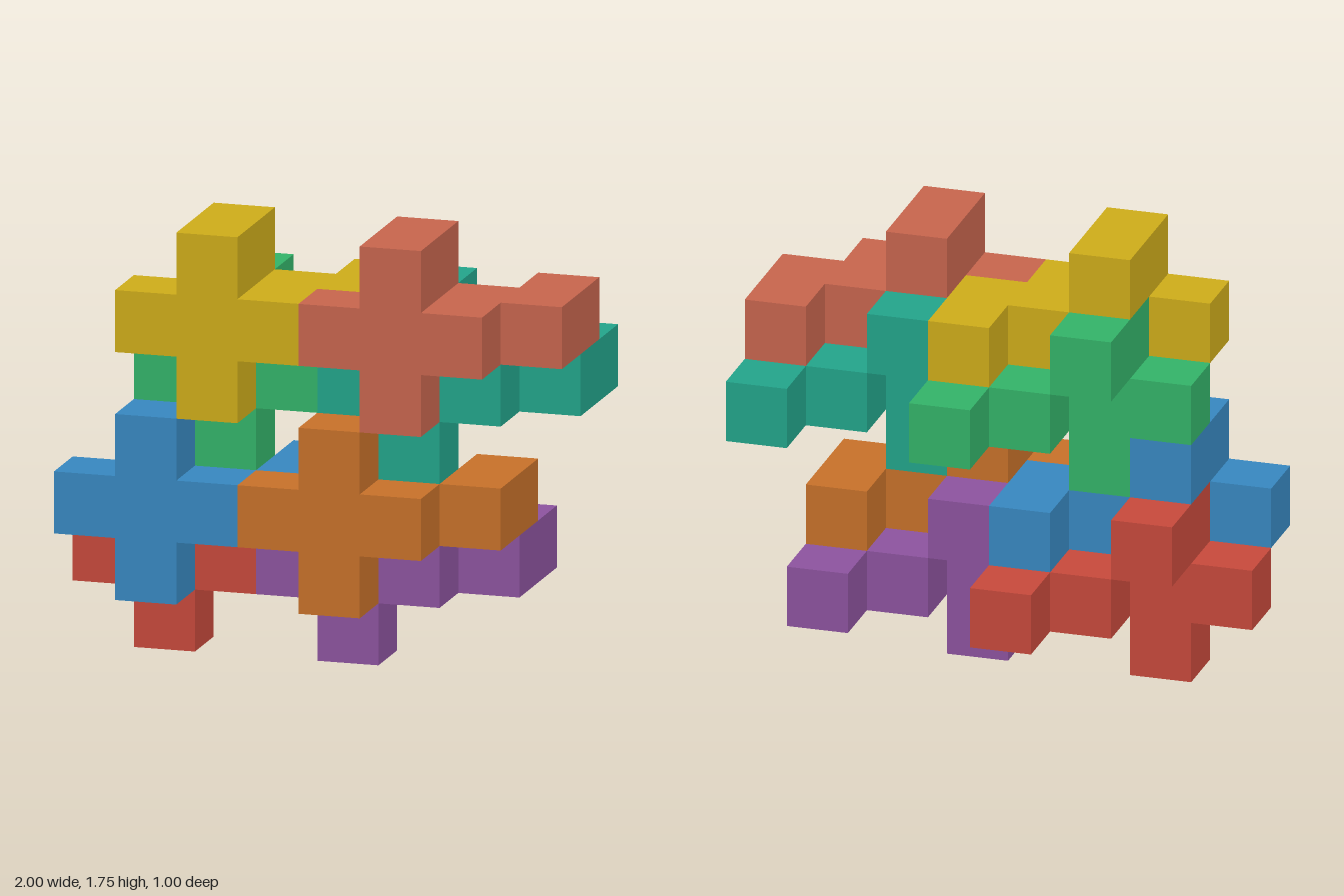
import * as THREE from 'three';
import { mergeGeometries } from 'three/addons/utils/BufferGeometryUtils.js';

const U = 0.25; // edge of one cube

// Cubes of one interlocking piece, relative to the middle of its cross
const CELLS = [
  [0, 0, 0], [-1, 0, 0], [1, 0, 0], [0, -1, 0], [0, 1, 0], // upright cross
  [0, 1, -1],                                              // stub behind the top arm
  [1, 0, -1], [2, 0, -1], [2, 0, -2],                      // stepped tail to the back
];

// Cross middle of each piece (in cubes) and its colour
const PIECES = [
  ['bluePiece', [1, 2, 3], 0x3889c2],
  ['orangePiece', [4, 2, 3], 0xc9722a],
  ['redPiece', [1, 1, 2], 0xc94a3c],
  ['purplePiece', [4, 1, 2], 0x8e54a0],
  ['yellowPiece', [2, 5, 3], 0xd0ae1a],
  ['salmonPiece', [5, 5, 3], 0xc9664e],
  ['greenPiece', [2, 4, 2], 0x34b56a],
  ['tealPiece', [5, 4, 2], 0x23a68c],
];

// Outer skin of a piece: one square wherever a cube has no neighbour
function pieceGeometry() {
  const filled = new Set(CELLS.map(String));
  const front = new THREE.Vector3(0, 0, 1);
  const squares = [];
  for (const cell of CELLS) {
    for (let axis = 0; axis < 3; axis++) {
      for (const sign of [-1, 1]) {
        const next = [...cell];
        next[axis] += sign;
        if (filled.has(String(next))) continue;
        const normal = new THREE.Vector3().setComponent(axis, sign);
        const square = new THREE.PlaneGeometry(U, U);
        if (axis === 2 && sign < 0) square.rotateY(Math.PI);
        else square.applyQuaternion(new THREE.Quaternion().setFromUnitVectors(front, normal));
        const centre = new THREE.Vector3(...cell).addScaledVector(normal, 0.5).multiplyScalar(U);
        squares.push(square.translate(centre.x, centre.y, centre.z));
      }
    }
  }
  return mergeGeometries(squares);
}

export function createModel() {
  const model = new THREE.Group();
  model.name = 'interlockingCubePieces';
  const geometry = pieceGeometry();
  for (const [name, [i, j, k], color] of PIECES) {
    const piece = new THREE.Mesh(geometry, new THREE.MeshStandardMaterial({ color }));
    piece.name = name;
    piece.position.set((i + 0.5) * U - 1, (j + 0.5) * U, (k + 0.5) * U - 0.5);
    model.add(piece);
  }
  return model;
}
